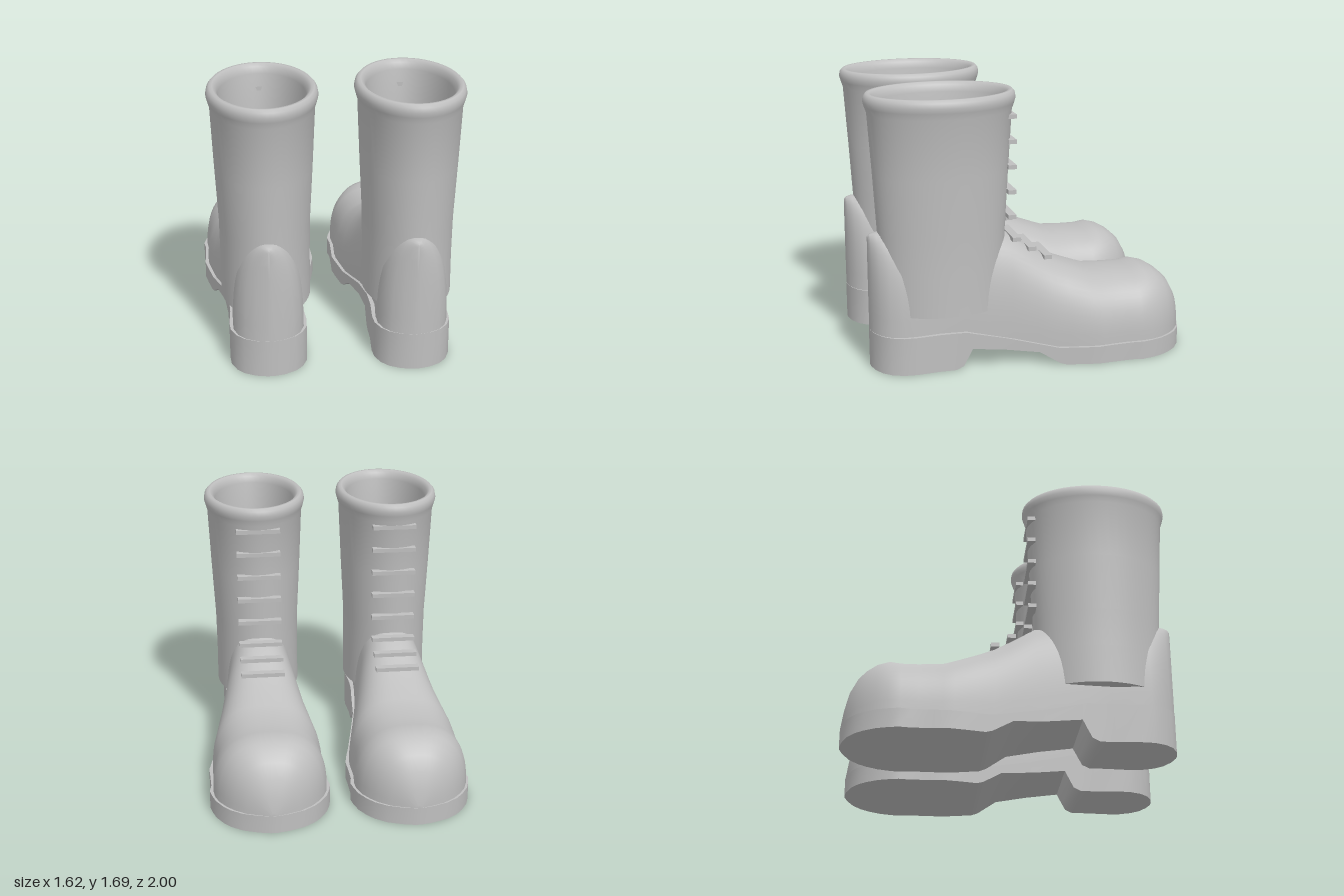
import * as THREE from 'three';
import { toCreasedNormals } from 'three/addons/utils/BufferGeometryUtils.js';

const grey = new THREE.MeshStandardMaterial({ color: 0xbfbfbf });
grey.name = 'plain grey';

// Skin over a list of closed rings, with both ends capped by a fan
function loft(rings, crease) {
  const n = rings[0].length;
  const pos = [];
  const tri = (...pts) => pts.forEach((p) => pos.push(p.x, p.y, p.z));
  const centre = (r) => r.reduce((s, p) => s.add(p), new THREE.Vector3()).divideScalar(n);
  const first = rings[0], last = rings[rings.length - 1];
  const c0 = centre(first), c1 = centre(last);
  for (let j = 0; j < n; j++) {
    const k = (j + 1) % n;
    for (let i = 0; i < rings.length - 1; i++) {
      const a = rings[i][j], b = rings[i][k], c = rings[i + 1][k], d = rings[i + 1][j];
      tri(a, d, c);
      tri(a, c, b);
    }
    tri(c0, first[j], first[k]);
    tri(c1, last[k], last[j]);
  }
  const g = new THREE.BufferGeometry();
  g.setAttribute('position', new THREE.Float32BufferAttribute(pos, 3));
  return toCreasedNormals(g, crease);
}

// Oval leg, rolled rim and hollow inside: [y, radius x, radius z]
function shaftGeometry() {
  const profile = [
    [0.36, 0.275, 0.385], [0.6, 0.273, 0.387], [0.84, 0.276, 0.393], [1.2, 0.294, 0.413],
    [1.57, 0.31, 0.436], [1.61, 0.322, 0.45], [1.64, 0.33, 0.458], [1.67, 0.324, 0.453],
    [1.688, 0.308, 0.438], [1.688, 0.29, 0.42], [1.67, 0.27, 0.402], [1.63, 0.26, 0.39],
    [1.2, 0.25, 0.375], [0.4, 0.24, 0.355],
  ];
  return loft(profile.map(([y, rx, rz]) => Array.from({ length: 48 }, (_, j) => {
    const t = (j / 48) * Math.PI * 2;
    return new THREE.Vector3(rx * Math.cos(t), y, 0.542 + rz * Math.sin(t));
  })), 0.9);
}

// Arched foot from toe to heel: [z, half width, base y, top y]
function upperGeometry() {
  const stations = [
    [-0.998, 0.02, 0.1, 0.13], [-0.98, 0.085, 0.1, 0.23], [-0.95, 0.165, 0.1, 0.335],
    [-0.9, 0.235, 0.1, 0.42], [-0.85, 0.28, 0.1, 0.465], [-0.79, 0.32, 0.1, 0.5],
    [-0.72, 0.345, 0.1, 0.517], [-0.65, 0.352, 0.1, 0.505], [-0.55, 0.342, 0.1, 0.507],
    [-0.4, 0.348, 0.1, 0.515], [-0.34, 0.345, 0.1, 0.535], [-0.2, 0.317, 0.1, 0.59],
    [-0.1, 0.295, 0.1, 0.635], [0, 0.274, 0.12, 0.695], [0.15, 0.24, 0.15, 0.79],
    [0.3, 0.226, 0.18, 0.82], [0.45, 0.21, 0.22, 0.83], [0.6, 0.2, 0.22, 0.83],
    [0.75, 0.215, 0.22, 0.835], [0.83, 0.212, 0.22, 0.84], [0.9, 0.187, 0.22, 0.845],
    [0.95, 0.145, 0.22, 0.845], [0.985, 0.08, 0.22, 0.838], [0.999, 0.015, 0.22, 0.825],
  ];
  const e = 2 / 2.6;
  return loft(stations.map(([z, w, base, top]) => Array.from({ length: 29 }, (_, j) => {
    const t = Math.PI * (1 - j / 28);
    const c = Math.cos(t), s = Math.max(0, Math.sin(t));
    return new THREE.Vector3(w * Math.sign(c) * Math.abs(c) ** e, base + (top - base) * s ** e, z);
  })), 1.0);
}

// Sole with arch and heel block: [z, half width, top y, bottom y]
function soleGeometry() {
  const stations = [
    [-1, 0.02, 0.115, 0], [-0.985, 0.09, 0.115, 0], [-0.95, 0.185, 0.115, 0],
    [-0.9, 0.255, 0.115, 0], [-0.85, 0.298, 0.115, 0], [-0.78, 0.34, 0.115, 0],
    [-0.71, 0.362, 0.115, 0], [-0.65, 0.374, 0.115, 0], [-0.58, 0.363, 0.113, 0],
    [-0.45, 0.366, 0.112, 0], [-0.36, 0.37, 0.11, 0], [-0.27, 0.353, 0.11, 0],
    [-0.16, 0.328, 0.11, 0], [-0.12, 0.32, 0.11, 0.012], [0, 0.293, 0.137, 0.085],
    [0.2, 0.25, 0.182, 0.107], [0.41, 0.236, 0.229, 0.13], [0.44, 0.233, 0.237, 0.07],
    [0.465, 0.231, 0.237, 0.022], [0.51, 0.228, 0.237, 0], [0.6, 0.226, 0.237, 0],
    [0.75, 0.236, 0.237, 0], [0.83, 0.23, 0.237, 0], [0.9, 0.2, 0.237, 0],
    [0.95, 0.155, 0.237, 0], [0.985, 0.088, 0.237, 0], [1, 0.02, 0.237, 0],
  ];
  return loft(stations.map(([z, w, top, bottom]) => [
    [w, top], [w, bottom], [-w, bottom], [-w, top],
  ].map(([x, y]) => new THREE.Vector3(x, y, z))), 0.7);
}

export function createModel() {
  const model = new THREE.Group();
  model.name = 'pairOfBoots';
  const parts = { shaft: shaftGeometry(), footUpper: upperGeometry(), sole: soleGeometry() };
  const laceGeometry = new THREE.BoxGeometry(0.28, 0.026, 0.05);
  const laces = [
    [1.533, 0.132], [1.38, 0.132], [1.225, 0.132], [1.07, 0.132], [0.915, 0.132],
    [0.77, 0.105], [0.702, 0.005], [0.641, -0.095],
  ];

  for (const side of [-1, 1]) {
    const boot = new THREE.Group();
    boot.name = side > 0 ? 'leftBoot' : 'rightBoot';
    for (const [name, geometry] of Object.entries(parts)) {
      const mesh = new THREE.Mesh(geometry, grey);
      mesh.name = name;
      boot.add(mesh);
    }
    // Lace bars up the front
    laces.forEach(([y, z], i) => {
      const lace = new THREE.Mesh(laceGeometry, grey);
      lace.name = `lace${i + 1}`;
      lace.position.set(0, y, z);
      boot.add(lace);
    });
    boot.position.x = side * 0.438;
    model.add(boot);
  }
  return model;
}
